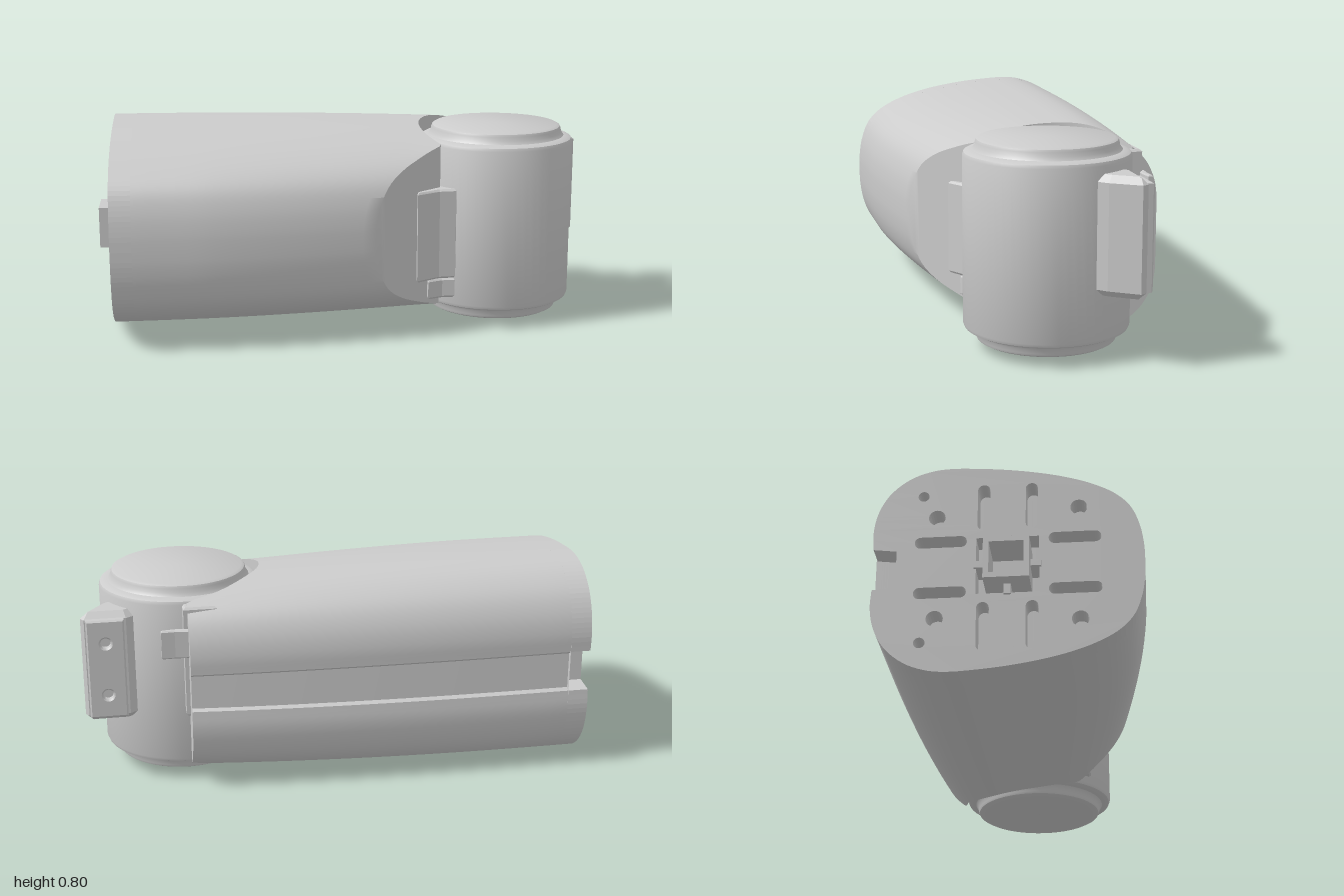
import * as THREE from 'three';
import { toCreasedNormals } from 'three/addons/utils/BufferGeometryUtils.js';

const MID = 0.405, BACK = -0.92, PLATE = 0.08;
const HX = 0.61, HZ = -0.01, SOCKET = 0.312;
const material = new THREE.MeshStandardMaterial({ color: 0xcccccc, side: THREE.DoubleSide });

function add(parent, name, geometry, x = 0, y = 0, z = 0) {
  const mesh = new THREE.Mesh(geometry, material);
  mesh.name = name;
  mesh.position.set(x, y, z);
  parent.add(mesh);
  return mesh;
}

// Vertical prism from an outline of [x, z] points, with chamfered ends
function prism(points, y0, y1, b = 0.008) {
  const shape = new THREE.Shape(points.map(([x, z]) => new THREE.Vector2(x, -z)));
  const g = new THREE.ExtrudeGeometry(shape, {
    depth: y1 - y0 - 2 * b, bevelThickness: b, bevelSize: b, bevelOffset: -b, bevelSegments: 1,
  });
  return g.rotateX(-Math.PI / 2).translate(0, y0 + b, 0);
}

// Upper half of the housing section as [z, height above the middle]
function halfSection() {
  const curve = new THREE.CatmullRomCurve3([
    [-0.472, 0.08], [-0.475, 0.15], [-0.46, 0.23], [-0.42, 0.305], [-0.35, 0.365], [-0.27, 0.395],
    [-0.2, 0.402], [-0.1, 0.397], [0, 0.387], [0.1, 0.371], [0.2, 0.348], [0.3, 0.313],
    [0.38, 0.268], [0.43, 0.215], [0.46, 0.14], [0.473, 0.06], [0.475, 0],
  ].map(([z, h]) => new THREE.Vector3(z, h, 0)));
  return [[-0.458, 0], [-0.458, 0.07], ...curve.getSpacedPoints(72).map((p) => [p.x, Math.max(0, p.y)])];
}

// Taper of the section along x
function taper(z, h, x) {
  const front = 1 - 0.14 * Math.pow(Math.max(0, (x + 0.6) / 0.67), 1.5);
  const rear = 1 - 0.095 * Math.pow(Math.max(0, (x + 0.6) / 1.2), 2.2);
  const tall = 1 - 0.065 * Math.pow(Math.max(0, (x + 0.9) / 1.3), 2);
  return [z * (z > 0 ? Math.max(front, 0.8) : rear), h * tall];
}

// Where the housing ends for a given z: slanted cut, round socket, flat lip
function endX(z) {
  const d = z - HZ;
  const slant = 0.07 + (0.41 - z) * 1.24;
  const socket = Math.abs(d) < SOCKET ? HX - Math.sqrt(SOCKET * SOCKET - d * d) : HX;
  return z > 0.28 ? slant : Math.min(slant, socket);
}

function housingGeometry(half) {
  const ring = [...half, ...half.slice(1, -1).reverse().map(([z, h]) => [z, -h])];
  const n = ring.length, rows = 18, start = BACK + PLATE, pos = [], index = [];
  const ends = ring.map(([z, h]) => {
    let x = 0.3;
    for (let k = 0; k < 40; k++) x = (x + endX(taper(z, h, x)[0])) / 2;
    return x;
  });
  for (let i = 0; i <= rows; i++) {
    ring.forEach(([z0, h0], j) => {
      const x = start + (ends[j] - start) * i / rows;
      const [z, h] = taper(z0, h0, x);
      pos.push(x, MID + h, z);
    });
  }
  for (let i = 0; i < rows; i++) for (let j = 0; j < n; j++) {
    const a = i * n + j, b = i * n + (j + 1) % n;
    index.push(a, b, a + n, b, b + n, a + n);
  }
  // End walls, ruled between the upper and lower halves
  for (let j = 0; j < half.length - 1; j++) {
    const low = (n - j) % n, low2 = n - j - 1, e = rows * n;
    index.push(e + low, e + j, e + j + 1, e + low, e + j + 1, e + low2);
    index.push(low, j + 1, j, low, low2, j + 1);
  }
  const g = new THREE.BufferGeometry();
  g.setAttribute('position', new THREE.Float32BufferAttribute(pos, 3));
  g.setIndex(index);
  return toCreasedNormals(g, 0.6);
}

function circleHole(u, v, r) {
  return new THREE.Path().absarc(u, v, r, 0, Math.PI * 2, true);
}

// Round-ended slot of half length l and half width r
function slotHole(u, v, l, r, upright) {
  const p = new THREE.Path();
  if (upright) {
    p.absarc(u, v + l, r, 0, Math.PI, false);
    p.absarc(u, v - l, r, Math.PI, Math.PI * 2, false);
  } else {
    p.absarc(u + l, v, r, -Math.PI / 2, Math.PI / 2, false);
    p.absarc(u - l, v, r, Math.PI / 2, Math.PI * 1.5, false);
  }
  p.closePath();
  return p;
}

function squarePoints(s) {
  return [[-s, -s], [s, -s], [s, s], [-s, s]].map(([u, v]) => new THREE.Vector2(u, v));
}

// Extrudes a (z, y) shape towards -x
function extrudeBack(shape, depth) {
  return new THREE.ExtrudeGeometry(shape, { depth, bevelEnabled: false, curveSegments: 10 })
    .rotateY(-Math.PI / 2);
}

function endPlateGeometry(half) {
  const upper = half.map(([z, h], i) => new THREE.Vector2(i < 2 ? -0.39 : z, h));
  const lower = upper.slice(1, -1).reverse().map((p) => new THREE.Vector2(p.x, -p.y));
  const shape = new THREE.Shape([...upper, ...lower]);
  shape.holes.push(new THREE.Path(squarePoints(0.11)));
  for (const s of [-1, 1]) {
    shape.holes.push(circleHole(0.25, s * 0.22, 0.03), circleHole(-0.25, s * 0.2, 0.03));
    shape.holes.push(circleHole(-0.3, s * 0.29, 0.02));
    for (const t of [-1, 1]) {
      shape.holes.push(slotHole(t * 0.085, s * 0.235, 0.07, 0.022, true));
      shape.holes.push(slotHole(t * 0.235, s * 0.1, 0.07, 0.022, false));
    }
  }
  return extrudeBack(shape, PLATE);
}

export function createModel() {
  const model = new THREE.Group();
  model.name = 'hingedArm';
  const half = halfSection();

  // Housing with its slotted end plate
  add(model, 'housing', housingGeometry(half));
  add(model, 'endPlate', endPlateGeometry(half), BACK + PLATE, MID, 0);

  // Square connector with ribs in the end plate
  const connector = new THREE.Group();
  connector.name = 'connector';
  model.add(connector);
  const tube = new THREE.Shape(squarePoints(0.08));
  tube.holes.push(new THREE.Path(squarePoints(0.06)));
  add(connector, 'connectorTube', extrudeBack(tube, 0.14), BACK + PLATE, MID, 0);
  for (const s of [-1, 1]) {
    add(connector, 'connectorRib', new THREE.BoxGeometry(0.09, 0.04, 0.025), -0.885, MID + s * 0.097, 0);
    add(connector, 'connectorRib', new THREE.BoxGeometry(0.09, 0.025, 0.04), -0.885, MID, s * 0.097);
  }

  // Hinge barrel with stepped caps
  const lower = [[0, 0.03], [0.245, 0.03], [0.256, 0.036], [0.26, 0.045], [0.262, 0.06], [0.272, 0.073],
    [0.29, 0.076], [0.302, 0.082], [0.307, 0.094]];
  const profile = [...lower, ...lower.slice().reverse().map(([r, y]) => [r, 2 * MID - y])];
  const barrel = new THREE.LatheGeometry(profile.map(([r, y]) => new THREE.Vector2(r, y)), 56);
  add(model, 'hingeBarrel', toCreasedNormals(barrel, 0.6), HX, 0, HZ);

  // Front tab bridging the slanted cut and the barrel
  add(model, 'frontTab', prism([[0.25, 0.285], [0.345, 0.23], [0.41, 0.225], [0.45, 0.18], [0.36, 0.13],
    [0.25, 0.2]], 0.2, 0.56));
  add(model, 'frontTabFoot', prism([[0.3, 0.25], [0.36, 0.225], [0.41, 0.225], [0.42, 0.15], [0.3, 0.15]], 0.12, 0.2));

  // Rear strip and small latch on the lip
  add(model, 'rearStrip', prism([[0.5, -0.365], [0.625, -0.365], [0.625, -0.3], [0.5, -0.3]], 0.29, 0.72));
  add(model, 'latch', prism([[0.58, -0.385], [0.66, -0.378], [0.71, -0.38], [0.71, -0.362], [0.66, -0.355],
    [0.58, -0.362]], 0.53, 0.64, 0.005));

  // Clip: drilled plate backed by a sloping wedge
  const clip = new THREE.Group();
  clip.name = 'clip';
  model.add(clip);
  add(clip, 'clipWedge', prism([[0.79, -0.24], [0.83, -0.268], [0.985, -0.268], [0.998, -0.245],
    [0.93, -0.145], [0.895, -0.11], [0.82, -0.15]], 0.255, 0.688, 0.025));
  const plate = new THREE.Shape([[0.845, 0.285], [0.975, 0.285], [0.975, 0.66], [0.845, 0.66]]
    .map(([x, y]) => new THREE.Vector2(x, y)));
  for (const y of [0.37, 0.575]) plate.holes.push(circleHole(0.91, y, 0.026));
  add(clip, 'clipPlate', new THREE.ExtrudeGeometry(plate, {
    depth: 0.022, bevelThickness: 0.006, bevelSize: 0.006, bevelSegments: 1,
  }), 0, 0, -0.288);

  return model;
}
